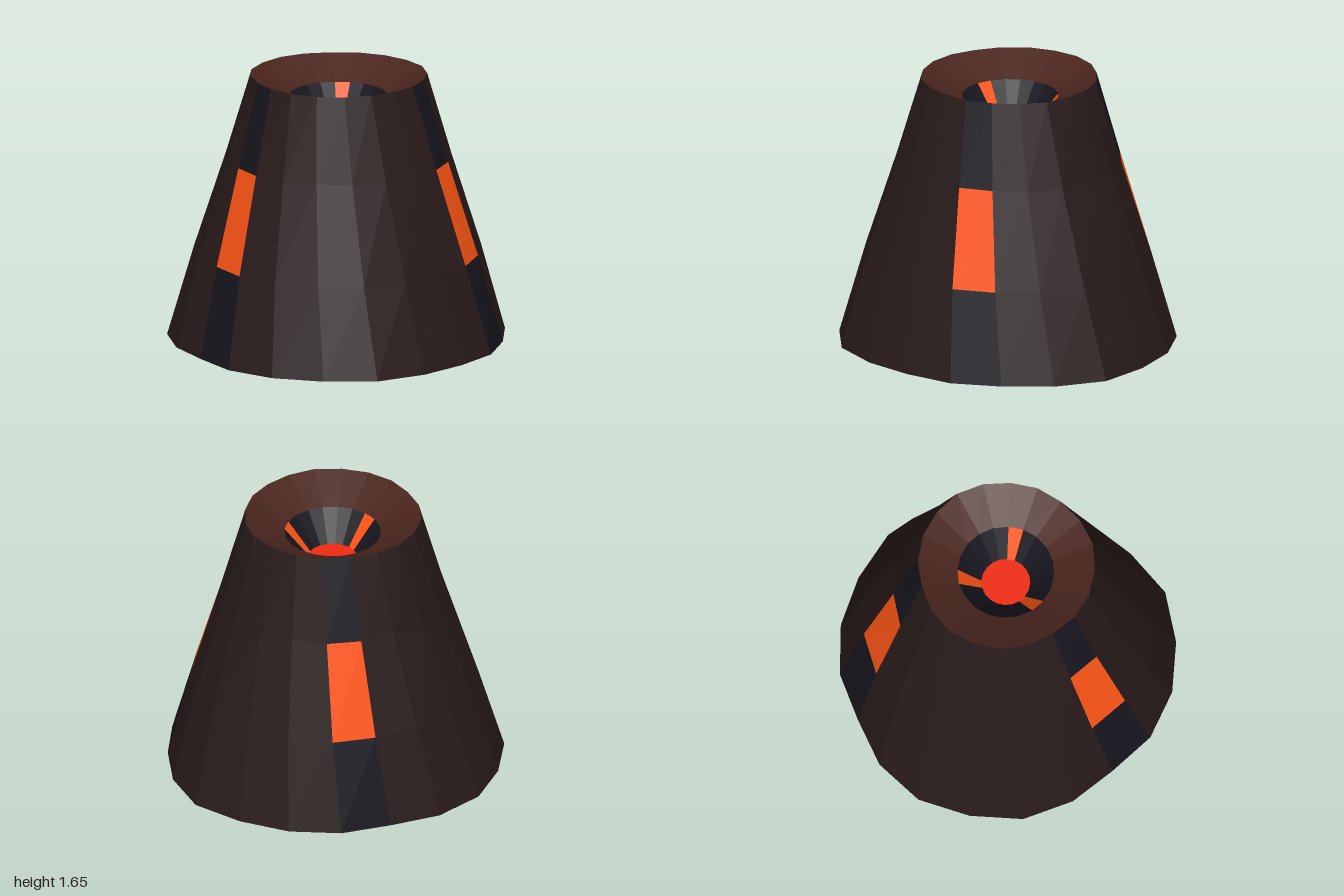
import * as THREE from 'three';

const SIDES = 20;
const CENTRE = { x: -0.01, z: 0.03 };

// Uneven outline: radius of each corner of the base, clockwise from the back
const OUTLINE = [1.03, 1.004, 0.958, 0.988, 1.0, 1.01, 1.045, 1.013, 0.978, 0.983,
  0.965, 0.991, 1.032, 1.014, 1.008, 0.99, 0.95, 0.984, 1.018, 1.015];

// Rings from the underside, up the slope, over the rim and into the crater.
// twist is in degrees, uneven is the share of the outline's wobble
const RINGS = [
  { r: 0, y: 0, twist: 0, uneven: 0 },
  { r: 1, y: 0.037, twist: 0, uneven: 1 },
  { r: 0.85, y: 0.574, twist: 3, uneven: 0.8 },
  { r: 0.67, y: 1.15, twist: 6, uneven: 0.5 },
  { r: 0.525, y: 1.65, twist: 9, uneven: 0.45 },
  { r: 0.287, y: 1.53, twist: 9, uneven: 0 },
  { r: 0.145, y: 1.36, twist: 9, uneven: 0 },
  { r: 0, y: 1.36, twist: 9, uneven: 0 },
];

// Sectors that carry a dark channel with a glowing patch
const CHANNELS = [2, 8, 15];

const COLORS = {
  rockSlope: 0x281a1a,
  underside: 0x281a1a,
  craterRim: 0x4a251e,
  craterWall: 0x17151e,
  darkChannel: 0x17151e,
  glowingPatch: 0xff5515,
  craterGlow: 0xff5515,
  lavaPool: 0xf02a10,
};

// Part name of each band, on plain sectors and on channel sectors
const BANDS = [
  ['underside', 'underside'],
  ['rockSlope', 'darkChannel'],
  ['rockSlope', 'glowingPatch'],
  ['rockSlope', 'darkChannel'],
  ['craterRim', 'craterRim'],
  ['craterWall', 'craterGlow'],
  ['lavaPool', 'lavaPool'],
];

function corner(ring, i) {
  const a = THREE.MathUtils.degToRad((i * 360) / SIDES + ring.twist);
  const r = ring.r * (1 + (OUTLINE[i % SIDES] - 1) * ring.uneven);
  return [CENTRE.x + r * Math.sin(a), ring.y, CENTRE.z - r * Math.cos(a)];
}

export function createModel() {
  const parts = {};
  for (const name in COLORS) parts[name] = [];

  // Two triangles per sector of each band, one where a ring closes to a point
  BANDS.forEach(([plain, channel], b) => {
    const low = RINGS[b], high = RINGS[b + 1];
    for (let i = 0; i < SIDES; i++) {
      const out = parts[CHANNELS.includes(i) ? channel : plain];
      const a = corner(low, i + 1), c = corner(low, i);
      const d = corner(high, i), e = corner(high, i + 1);
      if (low.r > 0) out.push(...a, ...c, ...d);
      if (high.r > 0) out.push(...a, ...d, ...e);
    }
  });

  const group = new THREE.Group();
  group.name = 'volcano';
  for (const name in parts) {
    const geometry = new THREE.BufferGeometry();
    geometry.setAttribute('position', new THREE.Float32BufferAttribute(parts[name], 3));
    geometry.computeVertexNormals();
    const material = new THREE.MeshStandardMaterial({ color: COLORS[name], flatShading: true });
    const mesh = new THREE.Mesh(geometry, material);
    mesh.name = name;
    group.add(mesh);
  }
  return group;
}
